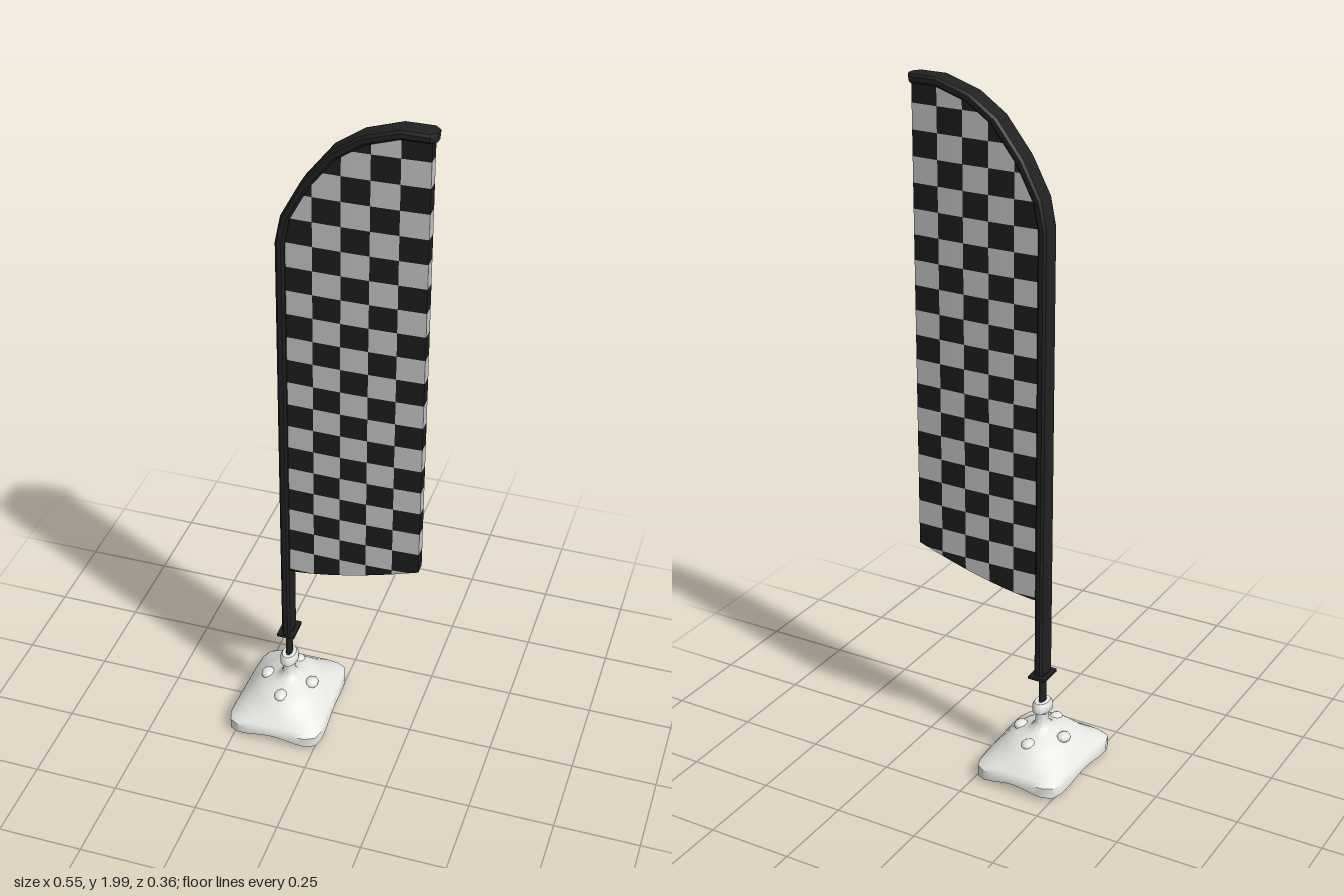
import * as THREE from 'three';
import { toCreasedNormals } from 'three/addons/utils/BufferGeometryUtils.js';

const mat = (name, color) => Object.assign(new THREE.MeshStandardMaterial({ color }), { name });
const POLE_X = -0.131;

// Skin a list of equal-length point loops, closing both ends with fans
function loft(rings, crease = 0.6) {
  const n = rings[0].length, pos = [], idx = [];
  rings.forEach(r => r.forEach(p => pos.push(...p)));
  for (let i = 0; i < rings.length - 1; i++) for (let j = 0; j < n; j++) {
    const a = i * n + j, b = i * n + (j + 1) % n;
    idx.push(a, b, b + n, a, b + n, a + n);
  }
  [rings[0], rings[rings.length - 1]].forEach((r, e) => {
    const c = pos.length / 3, o = e * (rings.length - 1) * n;
    pos.push(...[0, 1, 2].map(k => r.reduce((s, p) => s + p[k], 0) / n));
    for (let j = 0; j < n; j++) {
      const a = o + j, b = o + (j + 1) % n;
      e ? idx.push(c, a, b) : idx.push(c, b, a);
    }
  });
  const g = new THREE.BufferGeometry();
  g.setAttribute('position', new THREE.Float32BufferAttribute(pos, 3));
  g.setIndex(idx);
  return toCreasedNormals(g, crease);
}

// Sleeve centre line: straight up the pole, then over the bowed top
const path = [[POLE_X, 0.31], [POLE_X, 1.635], [-0.116, 1.71], [-0.063, 1.81], [0.012, 1.905],
  [0.088, 1.957], [0.185, 1.988], [0.262, 1.988], [0.277, 1.987]];

function sleeveGeometry() {
  const section = [[-1, -0.8], [-0.5, -1], [0.5, -1], [1, -0.8], [1, 0.8], [0.5, 1], [-0.5, 1], [-1, 0.8]];
  const rings = path.map(([x, y], i) => {
    const a = path[Math.max(i - 1, 0)], b = path[Math.min(i + 1, path.length - 1)];
    const l = Math.hypot(b[0] - a[0], b[1] - a[1]);
    const nx = (b[1] - a[1]) / l, ny = -(b[0] - a[0]) / l;
    const w = i === path.length - 1 ? 0.4 : 1;
    return section.map(([u, v]) => [x + nx * u * 0.0125, y + ny * u * 0.0125, -v * 0.033 * w]);
  });
  return loft(rings, 0.7);
}

// Chequered cloth: cells clipped by the bowed top and the rising lower hem
function flagGeometries() {
  const X0 = -0.122, COL = 0.0774, ROW = 0.072, Y0 = 0.626 - 2 * ROW, STEPS = 4;
  const top = x => {
    let i = 2;
    while (i < path.length - 2 && path[i][0] < x) i++;
    const [a, b] = [path[i - 1], path[i]];
    return a[1] + (b[1] - a[1]) * (x - a[0]) / (b[0] - a[0]);
  };
  const part = x => Math.min(Math.max((x - X0) / (COL * 5), 0), 1);
  const hem = x => 0.545 + 0.09 * Math.pow(part(x), 1.4);
  const half = x => 0.018 + 0.004 * Math.sin(Math.PI * part(x));
  const out = [[], []];
  const quad = (list, a, b, c, d) => list.push(...a, ...b, ...c, ...a, ...c, ...d);
  for (let c = 0; c < 5; c++) for (let s = 0; s < STEPS; s++) for (let r = 0; r < 22; r++) {
    const xs = [X0 + COL * (c + s / STEPS), X0 + COL * (c + (s + 1) / STEPS)];
    const yl = Y0 + r * ROW;
    const lo = xs.map(x => Math.max(yl, hem(x)));
    const hi = xs.map((x, k) => Math.max(lo[k], Math.min(yl + ROW, top(x))));
    if (hi[0] - lo[0] < 1e-5 && hi[1] - lo[1] < 1e-5) continue;
    const list = out[(c + r) % 2];
    const P = (k, y, side) => [xs[k], y[k], side * half(xs[k])];
    quad(list, P(0, lo, 1), P(1, lo, 1), P(1, hi, 1), P(0, hi, 1));
    quad(list, P(1, lo, -1), P(0, lo, -1), P(0, hi, -1), P(1, hi, -1));
    // lower hem and free edge
    if (yl < hem(xs[0]) || yl < hem(xs[1]))
      quad(list, P(0, lo, -1), P(1, lo, -1), P(1, lo, 1), P(0, lo, 1));
    if (c === 4 && s === STEPS - 1)
      quad(list, P(1, lo, 1), P(1, lo, -1), P(1, hi, -1), P(1, hi, 1));
  }
  return out.map(p => {
    const g = new THREE.BufferGeometry();
    g.setAttribute('position', new THREE.Float32BufferAttribute(p, 3));
    g.computeVertexNormals();
    return g;
  });
}

// Weighted foot: rounded rectangle blending up into a round neck
function baseGeometry() {
  // y, half width, half depth, squareness, underside arch
  const profile = [
    [0.012, 0.07, 0.09, 3, 0.012], [0.006, 0.135, 0.168, 6, 0.022], [0.014, 0.146, 0.18, 7, 0.016],
    [0.046, 0.146, 0.18, 7, 0], [0.057, 0.137, 0.17, 6, 0], [0.075, 0.118, 0.145, 3, 0],
    [0.098, 0.096, 0.122, 2.3, 0], [0.115, 0.066, 0.1, 2, 0], [0.122, 0.045, 0.06, 2, 0],
    [0.135, 0.028, 0.032, 2, 0], [0.15, 0.02, 0.022, 2, 0], [0.178, 0.019, 0.02, 2, 0],
    [0.188, 0.027, 0.038, 2, 0], [0.206, 0.027, 0.038, 2, 0], [0.216, 0.021, 0.03, 2, 0],
  ];
  const N = 40;
  return loft(profile.map(([y, hx, hz, e, arch]) => Array.from({ length: N }, (_, j) => {
    const t = -(j / N) * Math.PI * 2, c = Math.cos(t), s = Math.sin(t);
    const k = Math.pow(Math.abs(c) ** e + Math.abs(s) ** e, -1 / e);
    const z = s * k * hz;
    const x = c * k * hx * (0.97 + 0.25 * z);
    return [POLE_X + x, y + arch * Math.pow(Math.cos(2 * t), 2), z];
  })), 0.8);
}

export function createModel() {
  const group = new THREE.Group();
  group.name = 'featherFlag';
  const black = mat('blackFabric', 0x212121);
  const checkDark = mat('darkCheck', 0x1d1d1d);
  const checkLight = mat('lightCheck', 0xc4c4c4);
  const white = mat('whitePlastic', 0xe6e6e2);
  const add = (name, geo, material, x = 0, y = 0, z = 0) => {
    const m = new THREE.Mesh(geo, material);
    m.name = name;
    m.position.set(x, y, z);
    group.add(m);
    return m;
  };

  add('base', baseGeometry(), white);
  // Filler knobs around the mound
  for (const [x, z] of [[0, 0.085], [0, -0.085], [0.07, 0], [-0.07, 0]]) {
    const knob = add('baseKnob', new THREE.SphereGeometry(1, 12, 8), white, POLE_X + x, 0.112, z);
    knob.scale.set(0.02, 0.014, 0.024);
  }

  // Pole, collar and sleeve
  const pole = add('pole', new THREE.CylinderGeometry(1, 1, 0.12, 12), black, POLE_X, 0.26, 0);
  pole.scale.set(0.009, 1, 0.017);
  add('collar', new THREE.BoxGeometry(0.052, 0.009, 0.076), black, POLE_X, 0.304, -0.002);
  add('collarSocket', new THREE.BoxGeometry(0.03, 0.02, 0.05), black, POLE_X, 0.3, 0);
  add('sleeve', sleeveGeometry(), black);

  const [dark, light] = flagGeometries();
  add('flagDarkChecks', dark, checkDark);
  add('flagLightChecks', light, checkLight);
  return group;
}
